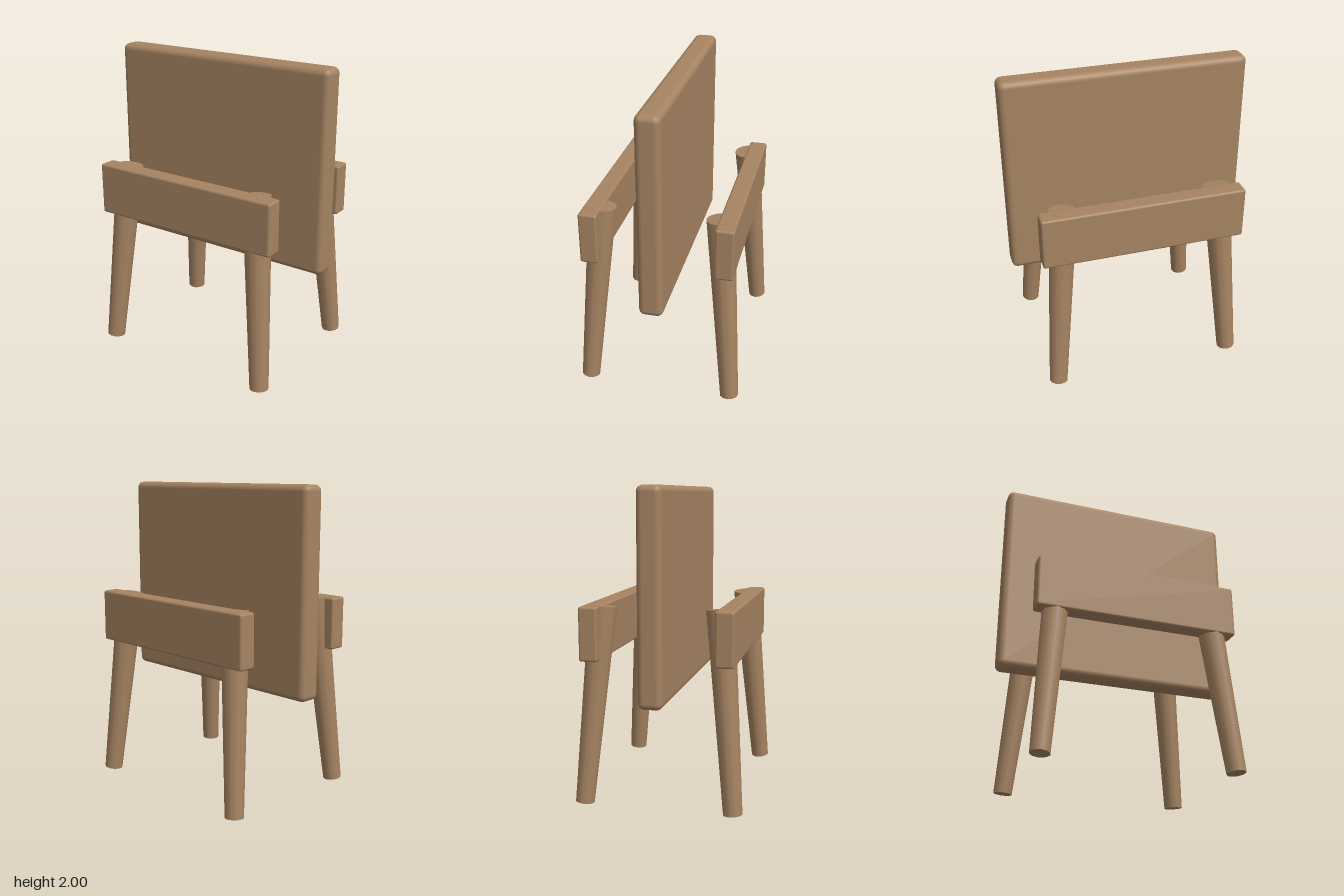
import * as THREE from 'three';
import { RoundedBoxGeometry } from 'three/addons/geometries/RoundedBoxGeometry.js';

export function createModel() {
  const model = new THREE.Group();
  model.name = 'chairFrame';
  const wood = new THREE.MeshStandardMaterial({ color: 0xa68462 });
  wood.name = 'wood';

  const add = (name, geometry, x, y, z) => {
    const mesh = new THREE.Mesh(geometry, wood);
    mesh.name = name;
    mesh.position.set(x, y, z);
    model.add(mesh);
    return mesh;
  };

  // Large upright panel in the middle
  add('panel', new RoundedBoxGeometry(1.59, 1.32, 0.154, 3, 0.04), 0, 1.34, 0);

  // Front and back rails
  const railGeometry = new RoundedBoxGeometry(1.325, 0.342, 0.118, 2, 0.015);
  for (const sz of [1, -1]) {
    add(sz > 0 ? 'frontRail' : 'backRail', railGeometry, 0, 1.1, sz * 0.425);
  }

  // Splayed legs, tapering towards the floor
  const up = new THREE.Vector3(0, 1, 0);
  for (const sz of [1, -1]) {
    for (const sx of [1, -1]) {
      const foot = new THREE.Vector3(sx * 0.607, 0.008, sz * 0.478);
      const head = new THREE.Vector3(sx * 0.503, 1.262, sz * 0.373);
      const axis = head.clone().sub(foot);
      const middle = foot.clone().add(head).multiplyScalar(0.5);
      const leg = add(
        (sz > 0 ? 'front' : 'back') + (sx > 0 ? 'Left' : 'Right') + 'Leg',
        new THREE.CylinderGeometry(0.09, 0.061, axis.length(), 12),
        middle.x, middle.y, middle.z
      );
      leg.quaternion.setFromUnitVectors(up, axis.normalize());
    }
  }
  return model;
}
